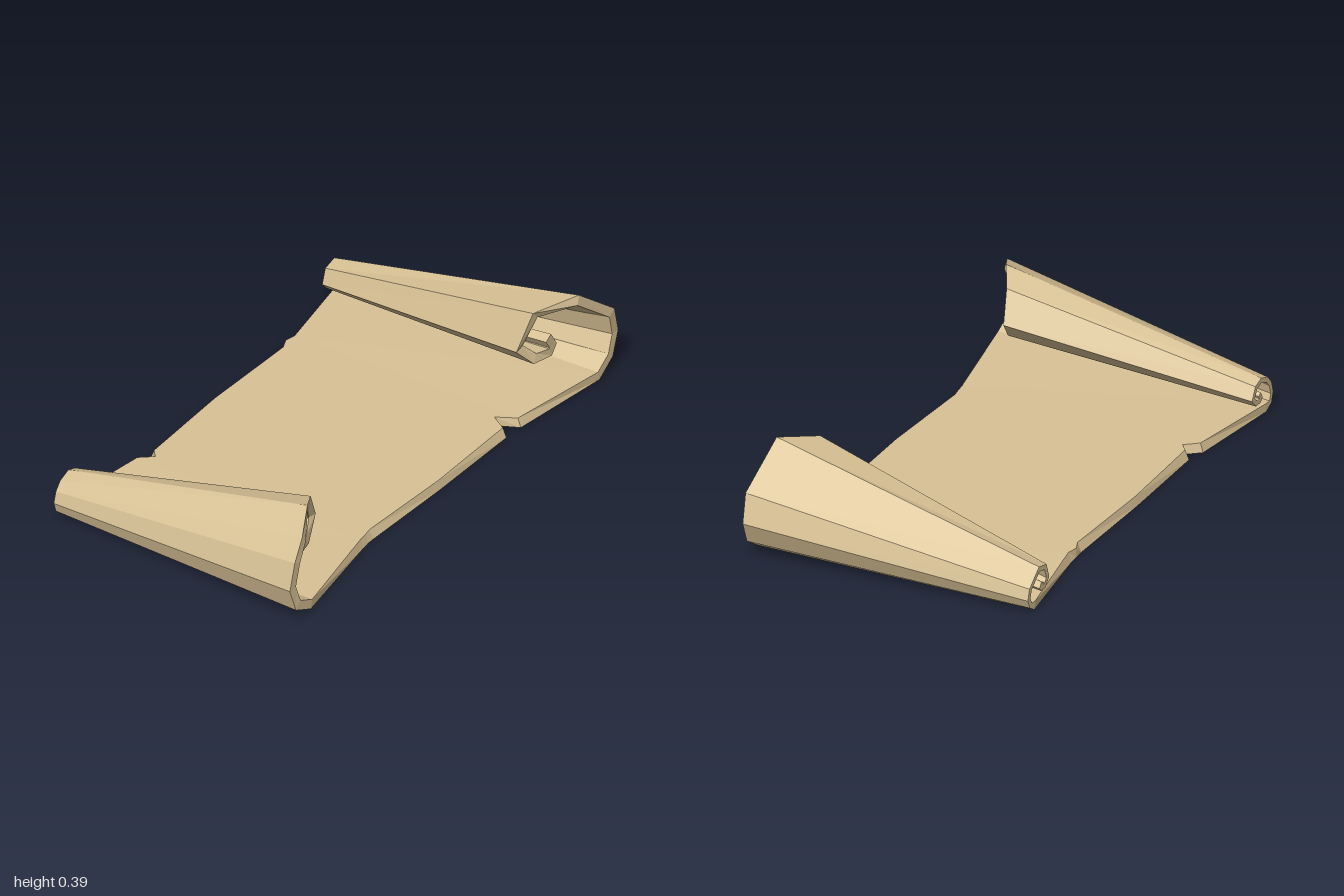
import * as THREE from 'three';

const paper = new THREE.MeshStandardMaterial({ color: 0xd9c296 });
paper.name = 'parchment tan';
paper.flatShading = true;

// Outer spiral of each roll at its wide end, from the sheet inwards: [z, y, x]
const FRONT = [
  [0.88, 0.008, 0.53], [0.97, 0.05, 0.53], [1.0, 0.14, 0.525], [0.97, 0.24, 0.525],
  [0.91, 0.31, 0.515], [0.79, 0.355, 0.455], [0.69, 0.32, 0.4], [0.63, 0.21, 0.38],
  [0.7, 0.135, 0.4], [0.78, 0.135, 0.42], [0.815, 0.17, 0.42], [0.785, 0.225, 0.42],
];
const BACK = [
  [-0.88, 0.008, 0.53], [-0.96, 0.06, 0.53], [-1.0, 0.145, 0.525], [-0.97, 0.25, 0.53],
  [-0.79, 0.39, 0.505], [-0.65, 0.355, 0.41], [-0.6, 0.21, 0.375],
  [-0.67, 0.135, 0.4], [-0.75, 0.135, 0.42], [-0.78, 0.17, 0.42], [-0.745, 0.225, 0.42],
];

// Flat sheet with a torn notch on each edge: [z, left x, right x, top inset]
const SHEET = [
  [-0.48, -0.475, 0.475, 0.012], [-0.44, -0.472, 0.393, 0], [-0.4, -0.47, 0.47, 0.015],
  [0, -0.475, 0.468, 0.008], [0.39, -0.468, 0.455, 0.015], [0.42, -0.437, 0.455, 0.01],
  [0.46, -0.485, 0.46, 0.01],
];

// A row holds the outer point on the narrow side (l) and wide side (r)
function rollRows(points, centre, narrowCentre, scale) {
  return points.map(([z, y, x], i) => ({
    l: { x: -0.53, y: y * scale, z: narrowCentre + (z - centre) * scale, t: i ? 0.018 : 0.032 },
    r: { x, y, z, t: 0.035 },
    inset: 0,
  }));
}

// Inner point: offset across the path by the paper thickness, mitred at bends
function innerPoint(rows, i, side) {
  const p = rows[i][side];
  const a = rows[Math.max(i - 1, 0)][side];
  const b = rows[Math.min(i + 1, rows.length - 1)][side];
  const normal = (u, v) => new THREE.Vector2(u.y - v.y, v.z - u.z).normalize();
  const n1 = a === p ? normal(p, b) : normal(a, p);
  const n2 = b === p ? n1 : normal(p, b);
  const n = n1.clone().add(n2).normalize();
  n.multiplyScalar(p.t / Math.max(n.dot(n1), 0.75));
  const inset = rows[i].inset * (side === 'l' ? 1 : -1);
  return [p.x + inset, p.y + n.y, p.z + n.x];
}

// Thick ribbon through four-cornered sections
function ribbon(name, sections, capStart, capEnd) {
  const pos = [];
  const quad = (a, b, c, d) => pos.push(...a, ...b, ...c, ...a, ...c, ...d);
  for (let i = 0; i < sections.length - 1; i++) {
    const s = sections[i], e = sections[i + 1];
    for (let k = 0; k < 4; k++) {
      const m = (k + 1) % 4;
      quad(s[k], s[m], e[m], e[k]);
    }
  }
  if (capStart) quad(...sections[0].slice().reverse());
  if (capEnd) quad(...sections[sections.length - 1]);
  const geometry = new THREE.BufferGeometry();
  geometry.setAttribute('position', new THREE.Float32BufferAttribute(pos, 3));
  geometry.computeVertexNormals();
  const mesh = new THREE.Mesh(geometry, paper);
  mesh.name = name;
  return mesh;
}

export function createModel() {
  const back = rollRows(BACK, -0.8, -0.825, 0.39).reverse();
  const front = rollRows(FRONT, 0.815, 0.81, 0.42);
  const flat = SHEET.map(([z, xl, xr, inset]) => ({
    l: { x: xl, y: 0.004, z, t: 0.035 },
    r: { x: xr, y: 0.004, z, t: 0.035 },
    inset,
  }));
  const rows = [...back, ...flat, ...front];

  // Corners in order: outer left, outer right, inner right, inner left
  const sections = rows.map(({ l, r }, i) => [
    [l.x, l.y, l.z], [r.x, r.y, r.z], innerPoint(rows, i, 'r'), innerPoint(rows, i, 'l'),
  ]);

  const b = back.length, f = b + flat.length;
  const group = new THREE.Group();
  group.name = 'scroll';
  group.add(
    ribbon('backRoll', sections.slice(0, b), true, false),
    ribbon('sheet', sections.slice(b - 1, f + 1), false, false),
    ribbon('frontRoll', sections.slice(f), false, true),
  );
  return group;
}
